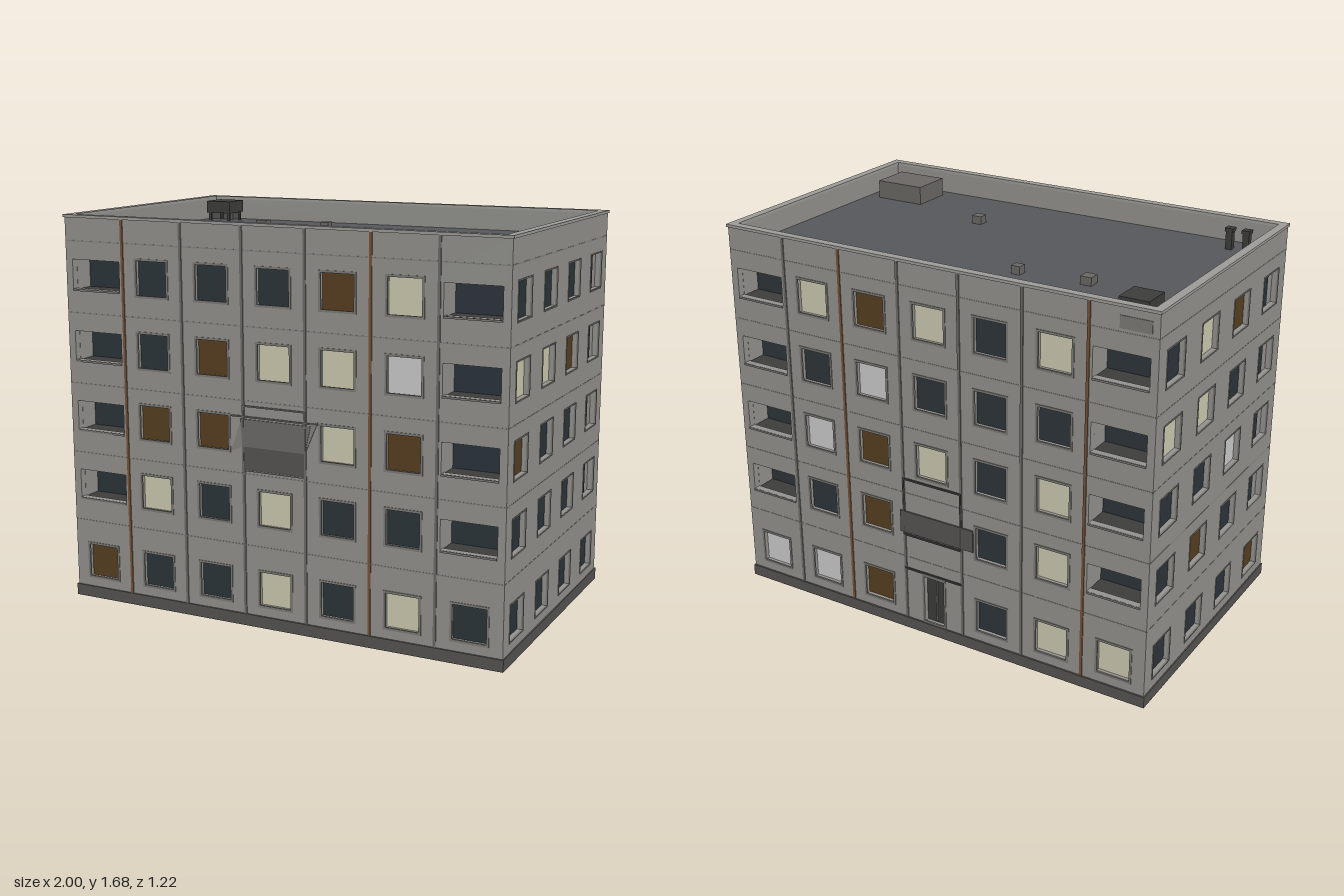
import * as THREE from 'three';

const mat = (color) => new THREE.MeshStandardMaterial({ color, roughness: 0.9, side: THREE.DoubleSide });
const M = {
  wall: mat(0x93928e), trim: mat(0x7c7b77), joint: mat(0x83827e), seam: mat(0x6c6b68), plinth: mat(0x555452),
  roof: mat(0x56575a), cap: mat(0x9c9b97), dark: mat(0x3c3c3b), pipe: mat(0x765238),
  vent: mat(0x6a6764),
};
// Window states: dark, brown, cream, grey
const GLASS = { D: mat(0x2c343a), B: mat(0x573e20), C: mat(0xcccab0), G: mat(0xcccccc) };

const HX = 0.995, HZ = 0.605, THICK = 0.03, WALL_TOP = 1.668, ROOF = 1.575;
const ROWS = [0.17, 0.515, 0.82, 1.125, 1.43];
const COLS = [-0.855, -0.57, -0.285, 0, 0.285, 0.57, 0.855];
const SIDE_COLS = [-0.457, -0.152, 0.152, 0.457];
const SEAMS = [-0.71, -0.427, -0.142, 0.142, 0.427, 0.71];
const BANDS = [0.35, 0.655, 0.96, 1.265, 1.57];
const WIN = 0.152;

function box(parent, name, w, h, d, x, y, z, material) {
  const mesh = new THREE.Mesh(new THREE.BoxGeometry(w, h, d), material);
  mesh.name = name;
  mesh.position.set(x, y, z);
  parent.add(mesh);
}

function rect(target, x0, y0, x1, y1) {
  target.moveTo(x0, y0).lineTo(x1, y0).lineTo(x1, y1).lineTo(x0, y1).closePath();
  return target;
}

function extrude(parent, name, shape, depth, z, material) {
  const mesh = new THREE.Mesh(new THREE.ExtrudeGeometry(shape, { depth, bevelEnabled: false }), material);
  mesh.name = name;
  mesh.position.z = z;
  parent.add(mesh);
}

const polygon = (points) => new THREE.Shape(points.map(([x, y]) => new THREE.Vector2(x, y)));

// Rectangular frame standing slightly proud of the wall
function frame(parent, name, x, y, w, h, t, material, proud = 0.003) {
  const s = rect(new THREE.Shape(), x - w / 2, y - h / 2, x + w / 2, y + h / 2);
  s.holes.push(rect(new THREE.Path(), x - w / 2 + t, y - h / 2 + t, x + w / 2 - t, y + h / 2 - t));
  extrude(parent, name, s, 0.008, proud - 0.008, material);
}

// Wall in local space: outer surface at z = 0, openings are [x, y, w, h]
function wall(parent, name, half, openings) {
  const s = rect(new THREE.Shape(), -half, 0.04, half, WALL_TOP);
  for (const [x, y, w, h] of openings) {
    s.holes.push(rect(new THREE.Path(), x - w / 2, y - h / 2, x + w / 2, y + h / 2));
  }
  extrude(parent, name, s, THICK, -THICK, M.wall);
}

// Recessed corner balcony room behind a long wall; sx = +1 or -1
function loggia(parent, sx, y) {
  const g = new THREE.Group();
  g.name = 'loggia';
  box(g, 'loggiaGlazing', 0.25, 0.16, 0.01, sx * 0.845, y, -0.125, GLASS.D);
  box(g, 'loggiaInnerWall', 0.01, 0.16, 0.09, sx * 0.722, y, -0.076, M.wall);
  box(g, 'loggiaEndWall', 0.006, 0.15, 0.095, sx * 0.965, y - 0.007, -0.078, M.wall);
  box(g, 'loggiaFloor', 0.24, 0.01, 0.09, sx * 0.843, y - 0.072, -0.076, M.dark);
  box(g, 'loggiaCeiling', 0.24, 0.01, 0.09, sx * 0.843, y + 0.07, -0.076, M.wall);
  box(g, 'loggiaSill', 0.235, 0.008, 0.01, sx * 0.845, y - 0.067, 0, M.trim);
  parent.add(g);
}

// Long facade; grid rows run upward, ' ' means no opening
function longFacade(name, grid, hasDoor) {
  const f = new THREE.Group();
  f.name = name;
  const openings = [];
  grid.forEach((line, r) => [...line].forEach((state, c) => {
    const x = COLS[c], y = ROWS[r];
    if (state === 'L') {
      openings.push([x < 0 ? -0.845 : 0.845, y, 0.235, 0.125]);
      loggia(f, Math.sign(x), y);
    } else if (state !== ' ') {
      openings.push([x, y, WIN, WIN]);
      box(f, 'windowPane', 0.16, 0.16, 0.006, x, y, -0.026, GLASS[state]);
      frame(f, 'windowFrame', x, y, 0.164, 0.164, 0.01, M.trim);
    }
  }));
  if (hasDoor) {
    openings.push([0, 0.165, 0.1, 0.22]);
    box(f, 'entranceDoor', 0.11, 0.23, 0.006, 0, 0.165, -0.026, M.dark);
    box(f, 'doorPanel', 0.006, 0.2, 0.01, 0, 0.165, -0.022, M.trim);
    frame(f, 'doorFrame', 0, 0.17, 0.118, 0.24, 0.01, M.trim);
  }
  wall(f, 'facadeWall', HX, openings);
  for (const y of BANDS) box(f, 'floorJoint', 2 * HX - 0.002, 0.005, 0.002, 0, y, 0, M.joint);
  return f;
}

// Vertical joints and rust-stained downpipes
function joints(f, pipes) {
  SEAMS.forEach((x, i) => {
    const isPipe = pipes.includes(i);
    box(f, isPipe ? 'downpipe' : 'panelJoint', 0.012, WALL_TOP - 0.05, 0.006,
      x, (WALL_TOP + 0.05) / 2, 0.001, isPipe ? M.pipe : M.seam);
  });
}

// Short end wall; outer columns are partly closed by the loggia ends
function endFacade(name, grid) {
  const f = new THREE.Group();
  f.name = name;
  const openings = [];
  grid.forEach((line, r) => [...line].forEach((state, c) => {
    const x = SIDE_COLS[c], y = ROWS[r];
    openings.push([x, y, WIN, WIN]);
    const corner = r > 0 && (c === 0 || c === 3);
    const w = corner ? 0.106 : 0.16;
    const px = corner ? Math.sign(x) * 0.427 : x;
    box(f, 'windowPane', w, 0.16, 0.006, px, y, -0.027, GLASS[state]);
    frame(f, 'windowFrame', x, y, 0.162, 0.162, 0.006, M.trim, 0.002);
  }));
  wall(f, 'endWall', HZ - THICK, openings);
  for (const y of BANDS) box(f, 'floorJoint', 2 * HZ - 0.002, 0.005, 0.002, 0, y, 0, M.joint);
  return f;
}

export function createModel() {
  const model = new THREE.Group();
  model.name = 'apartmentBlock';

  box(model, 'plinth', 2, 0.05, 1.224, 0, 0.025, 0, M.plinth);
  box(model, 'roofDeck', 1.95, 0.02, 1.17, 0, ROOF - 0.01, 0, M.roof);

  // Front with the tilted canopy in the middle bay
  const front = longFacade('frontFacade', ['BDDCDCD', 'LCDCDDL', 'LBB CBL', 'LDBCCGL', 'LDDDBCL'], false);
  joints(front, [0, 4]);
  front.position.z = HZ;
  model.add(front);
  const canopy = new THREE.Group();
  canopy.name = 'frontCanopy';
  box(canopy, 'canopyApron', 0.284, 0.1, 0.006, 0, 0.72, 0.002, M.plinth);
  extrude(canopy, 'canopySheet', polygon([[-0.142, 0.77], [0.142, 0.77], [0.168, 0.885], [-0.155, 0.885]]),
    0.005, 0, M.seam);
  for (const s of [-1, 1]) {
    extrude(canopy, 'canopyWing', polygon([[s * 0.142, 0.77], [s * 0.2, s < 0 ? 0.745 : 0.905], [s * 0.15, 0.885]]),
      0.003, 0, M.joint);
  }
  box(canopy, 'canopyRail', 0.4, 0.006, 0.006, 0, 0.895, 0.003, M.seam);
  frame(canopy, 'canopyFrame', 0, 0.805, 0.29, 0.275, 0.006, M.seam, 0.006);
  front.add(canopy);

  // Back with the entrance and the canopy above it
  const back = longFacade('backFacade', ['GGB DCC', 'LDB DCL', 'LGBCDCL', 'LDGDDDL', 'LCBCDCL'], true);
  joints(back, [1, 5]);
  back.position.z = -HZ;
  back.rotation.y = Math.PI;
  model.add(back);
  box(back, 'entranceCanopy', 0.36, 0.1, 0.006, 0.02, 0.52, 0.003, M.plinth);
  frame(back, 'stairFrame', 0, 0.59, 0.29, 0.27, 0.008, M.dark, 0.006);
  box(back, 'entranceLintel', 0.29, 0.008, 0.006, 0, 0.295, 0.003, M.dark);
  box(back, 'parapetPatch', 0.13, 0.05, 0.004, 0.9, 1.61, 0.001, M.trim);

  // End walls
  const right = endFacade('endFacadeLeft', ['DDDD', 'DDDD', 'BDDB', 'CCBD', 'DDDD']);
  right.position.x = HX;
  right.rotation.y = Math.PI / 2;
  const left = endFacade('endFacadeRight', ['DDDB', 'DBDD', 'DDGD', 'CCDD', 'DCBD']);
  left.position.x = -HX;
  left.rotation.y = -Math.PI / 2;
  model.add(right, left);

  // Parapet coping
  const cap = rect(new THREE.Shape(), -1, -0.612, 1, 0.612);
  cap.holes.push(rect(new THREE.Path(), -0.963, -0.575, 0.963, 0.575));
  const coping = new THREE.Mesh(new THREE.ExtrudeGeometry(cap, { depth: 0.012, bevelEnabled: false }), M.cap);
  coping.name = 'parapetCoping';
  coping.rotation.x = -Math.PI / 2;
  coping.position.y = WALL_TOP;
  model.add(coping);

  // Roof fittings
  box(model, 'roofHatch', 0.23, 0.08, 0.185, 0.79, ROOF + 0.04, 0.43, M.vent);
  for (const [x, z, w] of [[-0.5, -0.22, 0.05], [-0.2, -0.255, 0.04], [0.295, 0.24, 0.045]]) {
    box(model, 'roofVent', w, 0.035, w, x, ROOF + 0.0175, z, M.vent);
  }
  for (const x of [-0.87, -0.795]) {
    box(model, 'chimneyStack', 0.028, 0.08, 0.028, x, ROOF + 0.04, 0.47, M.dark);
    box(model, 'chimneyTop', 0.036, 0.015, 0.036, x, ROOF + 0.085, 0.47, M.dark);
  }
  const unit = new THREE.Group();
  unit.name = 'roofUnit';
  unit.position.set(-0.845, ROOF, -0.457);
  box(unit, 'unitBody', 0.125, 0.055, 0.125, 0, 0.067, 0, M.dark);
  for (const sx of [-1, 1]) for (const sz of [-1, 1]) {
    box(unit, 'unitLeg', 0.012, 0.04, 0.012, sx * 0.05, 0.02, sz * 0.05, M.dark);
  }
  model.add(unit);
  box(model, 'unitDuct', 0.13, 0.03, 0.06, -0.9, ROOF + 0.015, -0.545, M.plinth);

  return model;
}
